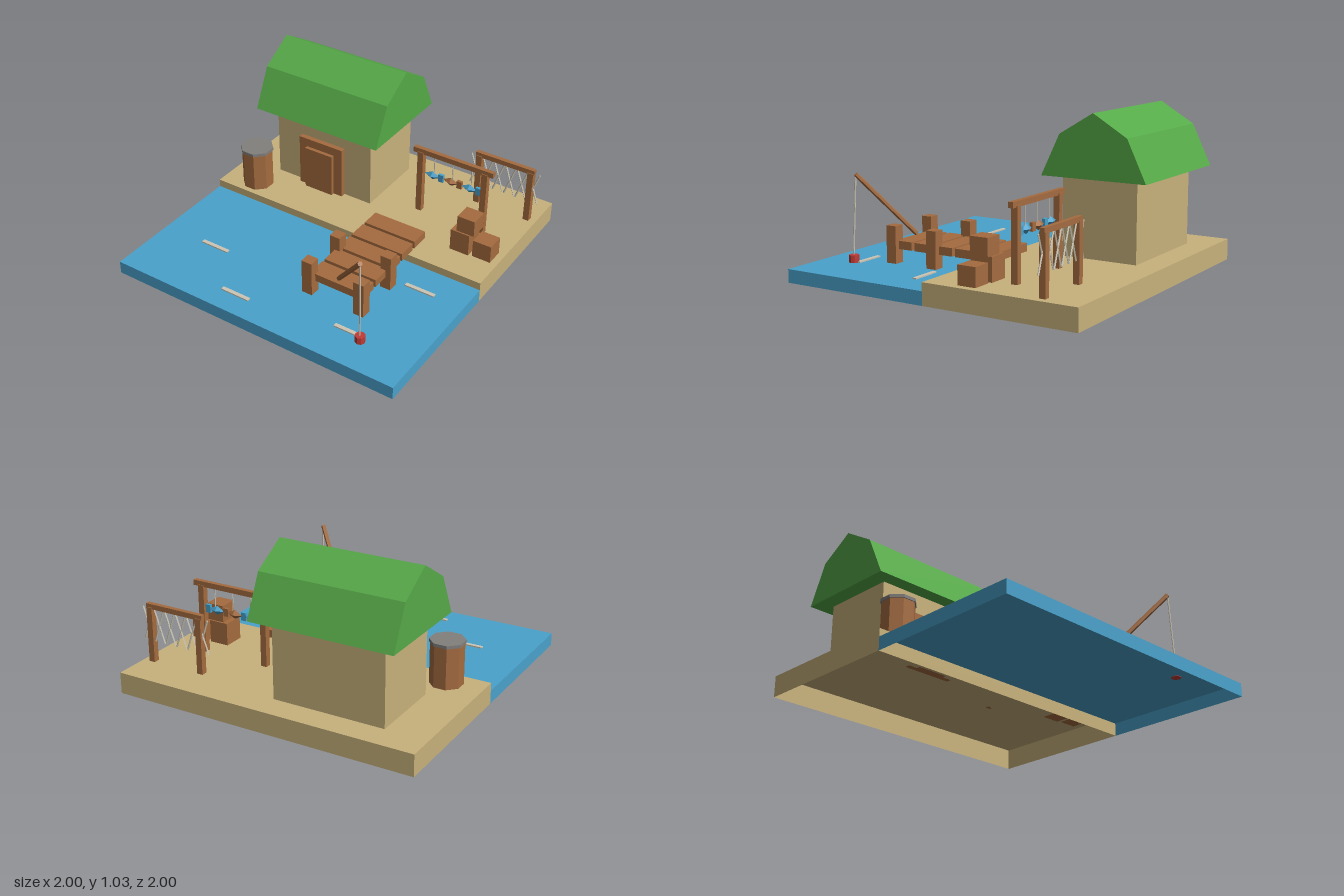
import * as THREE from 'three';

const mat = (name, color, side = THREE.FrontSide) => {
  const m = new THREE.MeshStandardMaterial({ color, side });
  m.name = name;
  return m;
};

export function createModel() {
  const sand = mat('sand', 0xc8b27c, THREE.DoubleSide);
  const water = mat('water blue', 0x4aa2cc, THREE.DoubleSide);
  const wood = mat('wood', 0xa56c40);
  const green = mat('roof green', 0x56aa48);
  const grey = mat('lid grey', 0x82807d);
  const red = mat('float red', 0xc23b36);
  const rope = mat('rope', 0xcdc6b4);
  for (const m of [sand, water, wood, green, grey, red, rope]) m.flatShading = true;

  const model = new THREE.Group();
  const group = (name) => {
    const g = new THREE.Group();
    g.name = name;
    model.add(g);
    return g;
  };
  const add = (parent, name, geometry, material) => {
    const mesh = new THREE.Mesh(geometry, material);
    mesh.name = name;
    parent.add(mesh);
    return mesh;
  };
  // Box given by its limits on each axis
  const box = (parent, name, material, [x0, x1], [y0, y1], [z0, z1]) => {
    const mesh = add(parent, name, new THREE.BoxGeometry(x1 - x0, y1 - y0, z1 - z0), material);
    mesh.position.set((x0 + x1) / 2, (y0 + y1) / 2, (z0 + z1) / 2);
    return mesh;
  };
  // Remove box sides: 0 +x, 1 -x, 2 +y, 3 -y, 4 +z, 5 -z
  const openSides = (mesh, sides) => {
    const index = Array.from(mesh.geometry.index.array);
    mesh.geometry.setIndex(index.filter((_, i) => !sides.includes(Math.floor(i / 6))));
    mesh.geometry.clearGroups();
  };
  // Thin rod between two points
  const rod = (parent, name, material, a, b, radius, sides = 6) => {
    const from = new THREE.Vector3(...a), to = new THREE.Vector3(...b);
    const mesh = add(parent, name, new THREE.CylinderGeometry(radius, radius, from.distanceTo(to), sides), material);
    mesh.position.copy(from).lerp(to, 0.5);
    mesh.quaternion.setFromUnitVectors(new THREE.Vector3(0, 1, 0), to.sub(from).normalize());
    return mesh;
  };

  // Ground and water, hollow underneath
  openSides(box(model, 'beach', sand, [-1, 1], [0, 0.137], [-1, 0]), [3]);
  openSides(box(model, 'water', water, [-1, 1], [0, 0.085], [0, 1]), [3, 5]);
  const ripples = group('ripples');
  for (const [x, z] of [[0.7, 0.202], [-0.6, 0.547], [-0.205, 0.848], [0.547, 0.748]]) {
    box(ripples, 'ripple', rope, [x - 0.1, x + 0.1], [0.085, 0.093], [z - 0.013, z + 0.013]);
  }

  // Hut with a double-sloped roof
  const hut = group('hut');
  box(hut, 'walls', sand, [-0.73, 0], [0.137, 0.645], [-0.83, -0.33]);
  box(hut, 'doorFrame', wood, [-0.535, -0.2], [0.137, 0.495], [-0.34, -0.295]);
  box(hut, 'door', wood, [-0.475, -0.265], [0.137, 0.437], [-0.3, -0.27]);
  const profile = new THREE.Shape(
    [[-0.35, 0.64], [0.35, 0.64], [0.225, 0.9], [0, 1.035], [-0.225, 0.9]]
      .map(([u, v]) => new THREE.Vector2(u, v)));
  const roof = add(hut, 'roof',
    new THREE.ExtrudeGeometry(profile, { depth: 0.93, bevelEnabled: false }), green);
  roof.rotation.y = Math.PI / 2;
  roof.position.set(-0.832, 0, -0.583);

  // Barrel
  const barrel = group('barrel');
  barrel.position.set(-0.768, 0, -0.132);
  barrel.rotation.y = Math.PI / 8;
  add(barrel, 'barrelBody', new THREE.CylinderGeometry(0.104, 0.104, 0.268, 8), wood).position.y = 0.271;
  add(barrel, 'barrelLid', new THREE.CylinderGeometry(0.111, 0.111, 0.02, 8), grey).position.y = 0.412;

  // Dock
  const dock = group('dock');
  for (let i = 0; i < 5; i++) {
    const z = -0.1 + i * 0.15;
    box(dock, 'plank', wood, [0.148, 0.515], [0.172, 0.224], [z - 0.064, z + 0.064]);
  }
  for (const x of [0.147, 0.513]) {
    for (const z of [0.267, 0.567]) {
      box(dock, 'dockPost', wood, [x - 0.036, x + 0.036], [0.085, 0.32], [z - 0.035, z + 0.035]);
    }
  }

  // Fishing rod, line and float
  const fishing = group('fishingRod');
  rod(fishing, 'pole', wood, [0.333, 0.238, 0.533], [0.63, 0.633, 0.768], 0.015);
  rod(fishing, 'line', rope, [0.63, 0.63, 0.768], [0.645, 0.125, 0.785], 0.005);
  add(fishing, 'float', new THREE.CylinderGeometry(0.032, 0.032, 0.05, 8), red).position.set(0.645, 0.107, 0.783);

  // Crates
  const crates = group('crates');
  box(crates, 'largeCrate', wood, [0.675, 0.805], [0.137, 0.285], [-0.342, -0.2]);
  box(crates, 'smallCrate', wood, [0.828, 0.953], [0.137, 0.255], [-0.33, -0.21]);
  box(crates, 'topCrate', wood, [0.71, 0.83], [0.285, 0.395], [-0.33, -0.21]);

  // Frame of two posts carrying a beam
  const frame = (parent, postXs, beamX, beamY, z) => {
    for (const x of postXs) {
      box(parent, 'rackPost', wood, [x - 0.02, x + 0.02], [0.137, beamY[0] + 0.01], [z - 0.02, z + 0.02]);
    }
    box(parent, 'rackBeam', wood, beamX, beamY, [z - 0.015, z + 0.015]);
  };

  // Drying rack with hanging fish
  const fishRack = group('fishRack');
  frame(fishRack, [0.298, 0.755], [0.245, 0.812], [0.572, 0.607], -0.468);
  [[0.383, water], [0.517, wood], [0.65, water]].forEach(([x, colour]) => {
    const body = add(fishRack, 'fishBody', new THREE.OctahedronGeometry(1), colour);
    body.scale.set(0.058, 0.03, 0.026);
    body.position.set(x, 0.43, -0.468);
    box(fishRack, 'fishTail', colour, [x + 0.045, x + 0.08], [0.405, 0.457], [-0.478, -0.458]);
    rod(fishRack, 'string', rope, [x + 0.012, 0.575, -0.468], [x + 0.012, 0.45, -0.468], 0.004);
  });

  // Net rack with crossed cords
  const netRack = group('netRack');
  frame(netRack, [0.57, 0.935], [0.545, 0.96], [0.487, 0.52], -0.755);
  for (let i = 0; i < 6; i++) {
    const x = 0.547 + i * 0.082;
    for (const s of [-1, 1]) {
      rod(netRack, 'netCord', rope, [x - s * 0.037, 0.49, -0.755], [x + s * 0.037, 0.272, -0.755], 0.006, 4);
    }
  }
  return model;
}
